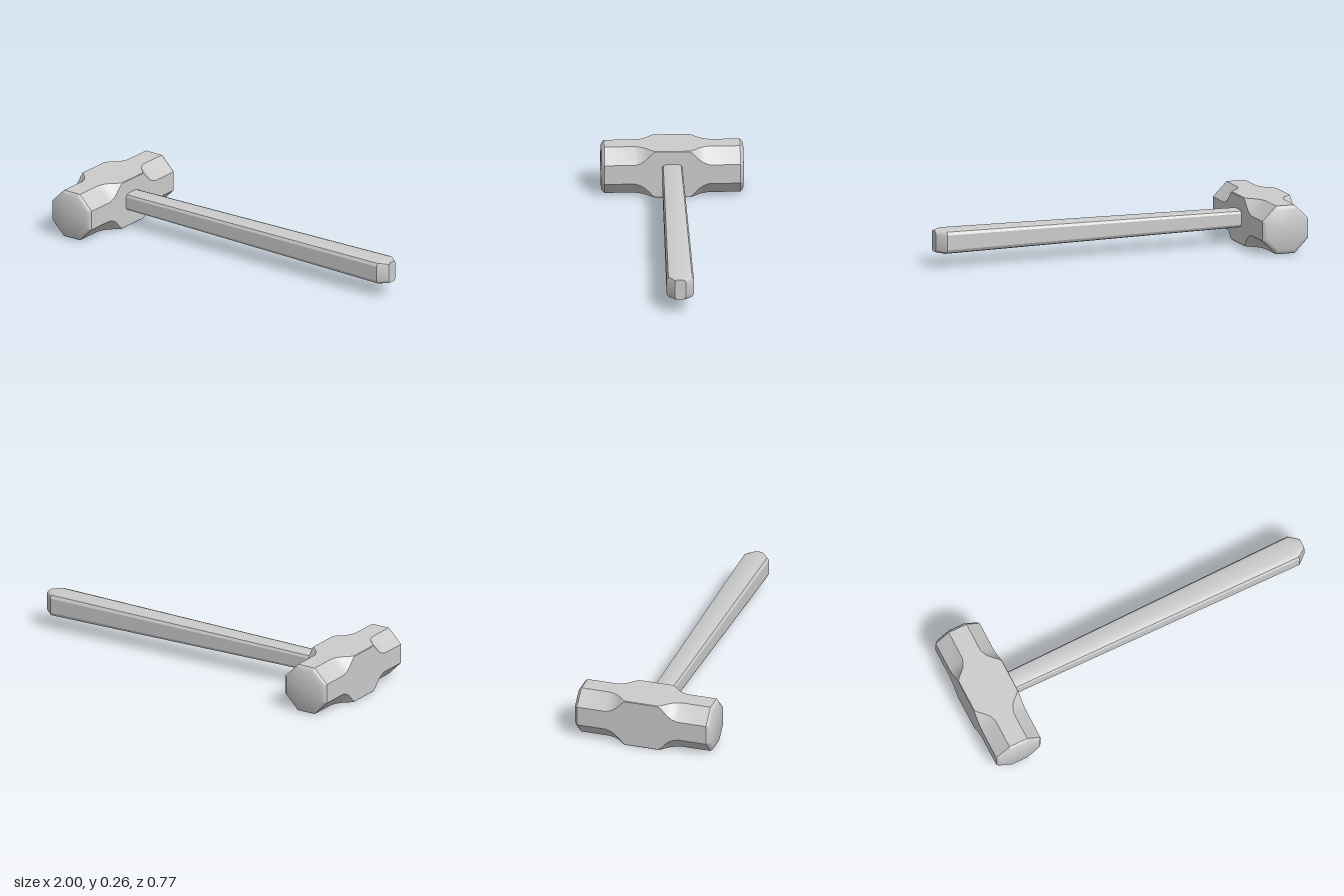
import * as THREE from 'three';
import { toCreasedNormals } from 'three/addons/utils/BufferGeometryUtils.js';

// Skins a row of rings; each ring runs counter-clockwise seen from the far end.
function loft(rings, startTip, endTip, crease) {
  const points = [];
  const triangle = (...corners) => corners.forEach((p) => points.push(...p));
  const count = rings[0].length;
  for (let i = 0; i < count; i++) {
    const j = (i + 1) % count;
    for (let k = 0; k < rings.length - 1; k++) {
      const [near, far] = [rings[k], rings[k + 1]];
      triangle(near[i], near[j], far[j]);
      triangle(near[i], far[j], far[i]);
    }
    const first = rings[0], last = rings[rings.length - 1];
    triangle(startTip, first[j], first[i]);
    triangle(endTip, last[i], last[j]);
  }
  const geometry = new THREE.BufferGeometry();
  geometry.setAttribute('position', new THREE.Float32BufferAttribute(points, 3));
  return toCreasedNormals(geometry, crease);
}

// Mirrors one quadrant's corners (listed counter-clockwise) into a closed outline.
function mirrorQuadrant(quadrant) {
  const half = [...quadrant, ...quadrant.map(([u, v]) => [-u, v]).reverse()];
  return [...half, ...half.map(([u, v]) => [-u, -v])];
}

export function createModel() {
  const model = new THREE.Group();
  const material = new THREE.MeshStandardMaterial({ color: 0xcccccc });
  const add = (name, geometry, x, y, z) => {
    const mesh = new THREE.Mesh(geometry, material);
    mesh.name = name;
    mesh.position.set(x, y, z);
    model.add(mesh);
  };

  // Head: octagonal striking ends flaring to a square block around the handle.
  // Each station is [distance from middle, half size, half width of the flats].
  const stations = [
    [0.095, 0.131, 0.128], [0.11, 0.131, 0.116], [0.13, 0.131, 0.094],
    [0.15, 0.131, 0.075], [0.17, 0.131, 0.063], [0.2, 0.131, 0.053],
    [0.362, 0.131, 0.053], [0.372, 0.123, 0.05], [0.38, 0.108, 0.045],
  ];
  const headRing = (z, h, f) => mirrorQuadrant([[h, f], [f, h]]).map(([x, y]) => [x, y, z]);
  const headRings = [
    ...stations.map(([z, h, f]) => headRing(-z, h, f)).reverse(),
    ...stations.map(([z, h, f]) => headRing(z, h, f)),
  ];
  add('hammerHead', loft(headRings, [0, 0, -0.383], [0, 0, 0.383], 0.6), -0.869, 0.131, 0);

  // Handle: chamfered bar widening toward a wedge-shaped butt.
  const handleRing = (x, height, width, y) =>
    mirrorQuadrant([[1, 0.55], [0.88, 0.87], [0.62, 1]])
      .map(([v, u]) => [x, y + v * height, u * width]);
  const handleRings = [
    handleRing(-0.9, 0.046, 0.053, 0.139),
    handleRing(-0.74, 0.048, 0.055, 0.139),
    handleRing(0.95, 0.065, 0.073, 0.136),
    handleRing(1, 0.057, 0.03, 0.137),
  ];
  add('handle', loft(handleRings, [-0.9, 0.139, 0], [1, 0.137, 0], 0.45), 0, 0, 0.002);

  return model;
}
